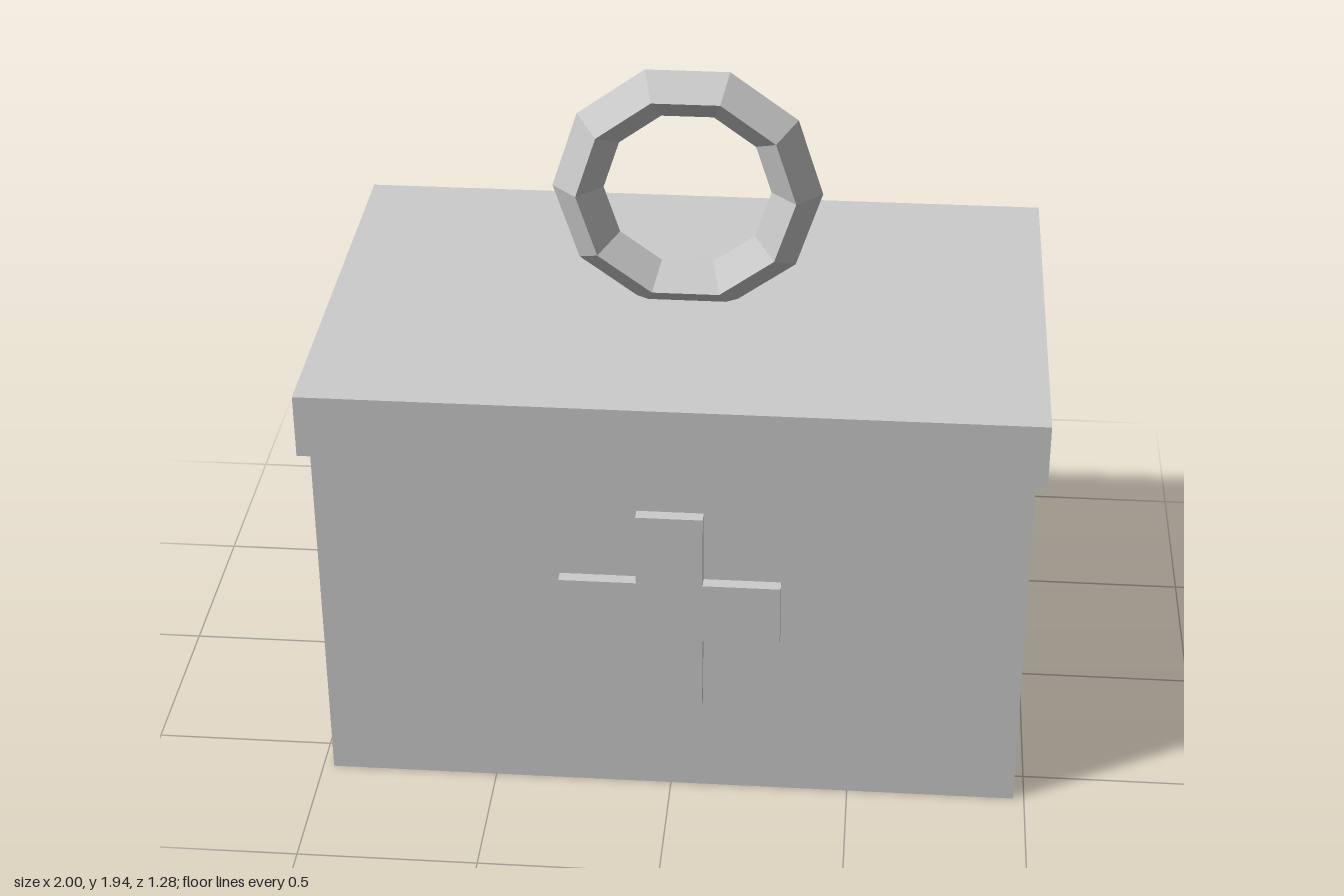
import * as THREE from 'three';

export function createModel() {
  const model = new THREE.Group();
  const grey = new THREE.MeshStandardMaterial({ color: 0xcccccc, flatShading: true });
  grey.name = 'plain grey';
  const midZ = -0.002;

  const add = (name, geometry, x, y, z) => {
    const mesh = new THREE.Mesh(geometry, grey);
    mesh.name = name;
    mesh.position.set(x, y, z);
    model.add(mesh);
  };

  // Case and overhanging lid
  add('caseBody', new THREE.BoxGeometry(1.94, 1.062, 1.21), 0, 0.531, midZ);
  add('lid', new THREE.BoxGeometry(2, 0.182, 1.272), 0, 1.153, midZ);

  // Ring handle, ten segments with a diamond section, sunk slightly into the lid
  add('ringHandle', new THREE.TorusGeometry(0.303, 0.071, 4, 10), 0, 1.58, midZ);

  // Raised cross on the front: half width a, arm half thickness b
  const a = 0.303, b = 0.091;
  const cross = new THREE.Shape([
    [b, a], [-b, a], [-b, b], [-a, b], [-a, -b], [-b, -b],
    [-b, -a], [b, -a], [b, -b], [a, -b], [a, b], [b, b],
  ].map(([x, y]) => new THREE.Vector2(x, y)));
  add('frontCross', new THREE.ExtrudeGeometry(cross, { depth: 0.045, bevelEnabled: false }), 0, 0.61, 0.593);

  return model;
}
